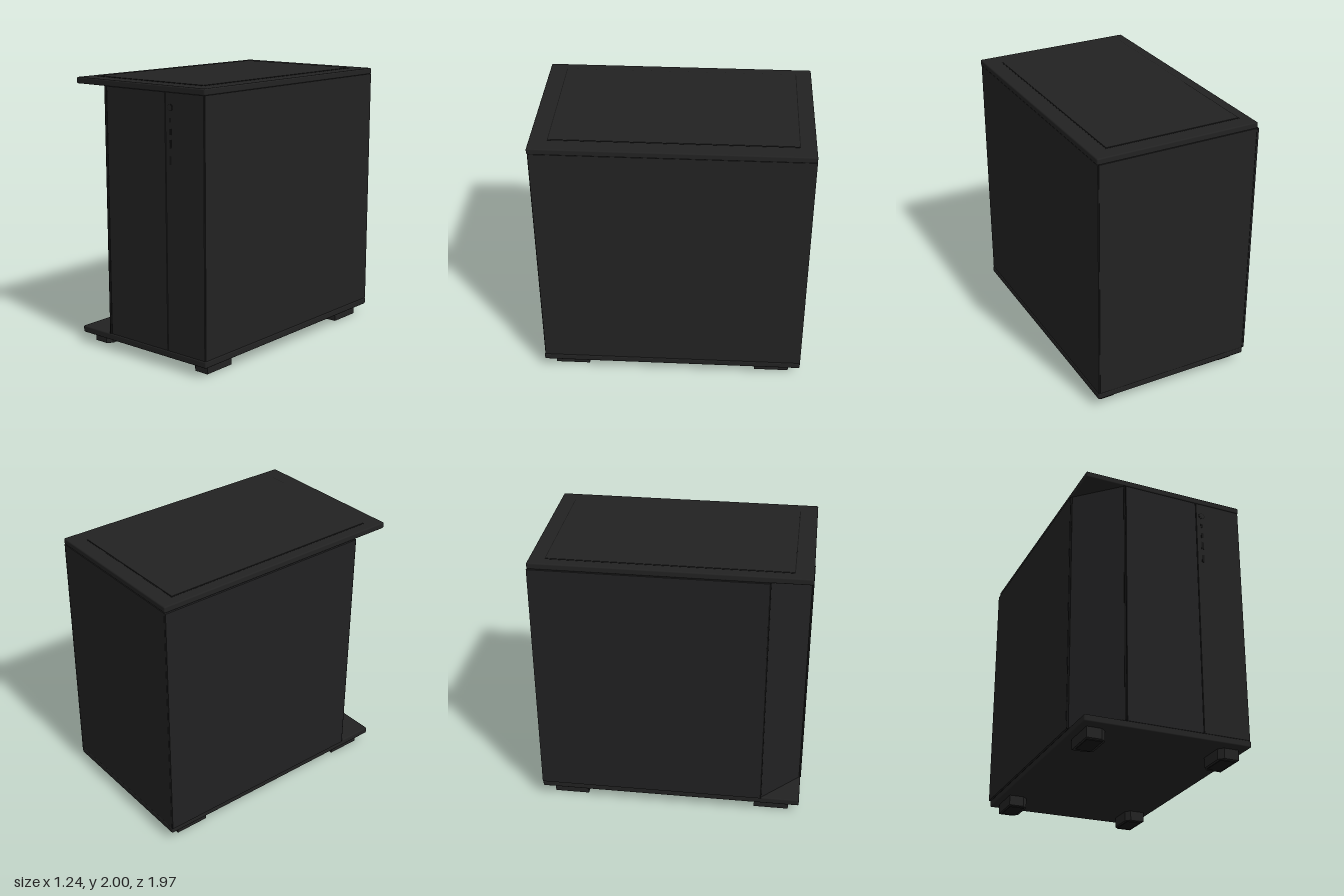
import * as THREE from 'three';
import { RoundedBoxGeometry } from 'three/addons/geometries/RoundedBoxGeometry.js';

export function createModel() {
  const model = new THREE.Group();
  const mat = (name, color) => {
    const m = new THREE.MeshStandardMaterial({ color });
    m.name = name;
    return m;
  };
  const shell = mat('black shell', 0x222222);
  const glass = mat('smoked glass', 0x212122);
  const dark = mat('dark seam', 0x141414);

  const add = (name, geometry, material, x = 0, y = 0, z = 0) => {
    const mesh = new THREE.Mesh(geometry, material);
    mesh.name = name;
    mesh.position.set(x, y, z);
    model.add(mesh);
    return mesh;
  };
  // Box given by its lower and upper limits
  const box = (name, material, x0, x1, y0, y1, z0, z1, r = 0) => {
    const s = [x1 - x0, y1 - y0, z1 - z0];
    const g = r ? new RoundedBoxGeometry(...s, 2, r) : new THREE.BoxGeometry(...s);
    return add(name, g, material, (x0 + x1) / 2, (y0 + y1) / 2, (z0 + z1) / 2);
  };
  // Vertical prism over a floor outline of [x, z] points
  const prism = (name, points, y0, y1, material) => {
    const shape = new THREE.Shape(points.map(([x, z]) => new THREE.Vector2(x, -z)));
    const g = new THREE.ExtrudeGeometry(shape, { depth: y1 - y0, bevelEnabled: false });
    g.rotateX(-Math.PI / 2);
    return add(name, g, material, 0, y0, 0);
  };

  const bottom = 0.13, top = 1.95;

  // Inner body with the cut front corner
  prism('innerBody', [[-0.605, -0.975], [0.605, -0.975], [0.605, 0.965], [-0.31, 0.965], [-0.605, 0.685]],
    bottom - 0.01, top + 0.01, dark);

  // Top and bottom plates
  box('topPlate', shell, -0.61, 0.617, top, 1.996, -0.985, 0.98, 0.01);
  box('basePlate', shell, -0.61, 0.617, 0.08, bottom, -0.985, 0.98, 0.01);

  // Inset dust filter and the seam around it
  box('filterSeam', dark, -0.533, 0.497, 1.99, 1.997, -0.873, 0.853);
  box('topFilter', shell, -0.527, 0.491, 1.99, 2, -0.867, 0.847);

  // Side, rear and front panels
  box('leftSidePanel', shell, 0.606, 0.613, bottom, top, -0.985, 0.972);
  box('rightGlass', glass, -0.62, -0.606, bottom, top, -0.985, 0.685);
  box('rearPanel', shell, -0.603, 0.603, bottom, top, -0.985, -0.976);
  box('frontGlass', glass, -0.302, 0.257, bottom, top, 0.966, 0.976);
  box('frontControlPanel', shell, 0.263, 0.604, bottom, top, 0.966, 0.976);

  // Slanted corner glass
  prism('cornerGlass', [[-0.608, 0.69], [-0.601, 0.683], [-0.309, 0.96], [-0.316, 0.972]], bottom, top, glass);

  // Slim trims at both ends of the corner glass
  for (const [x, z] of [[-0.612, 0.688], [-0.314, 0.976]]) {
    add('cornerTrim', new THREE.CylinderGeometry(0.008, 0.008, top - bottom, 8), dark, x, (top + bottom) / 2, z);
  }

  // Power button with ring
  const disc = (name, r, depth, material) => {
    const g = new THREE.CylinderGeometry(r, r, depth, 16);
    g.rotateX(Math.PI / 2);
    add(name, g, material, 0.305, 1.85, 0.976);
  };
  disc('buttonRing', 0.024, 0.004, dark);
  disc('powerButton', 0.019, 0.008, shell);

  // Front ports
  for (const [y, h] of [[1.765, 0.03], [1.685, 0.04], [1.6, 0.06], [1.49, 0.06]]) {
    box('frontPort', dark, 0.296, 0.314, y - h / 2, y + h / 2, 0.974, 0.978);
  }

  // Feet with chamfered inner corners
  for (const sx of [-1, 1]) for (const sz of [-1, 1]) {
    const outline = [[0.56, 0.64], [0.56, 0.9], [0.45, 0.9], [0.415, 0.865], [0.415, 0.675], [0.45, 0.64]];
    prism('foot', outline.map(([x, z]) => [x * sx, z * sz]), 0.005, 0.085, shell);
    box('footPad', dark, sx * 0.49 - 0.055, sx * 0.49 + 0.055, 0, 0.006, sz * 0.77 - 0.1, sz * 0.77 + 0.1);
  }

  return model;
}
